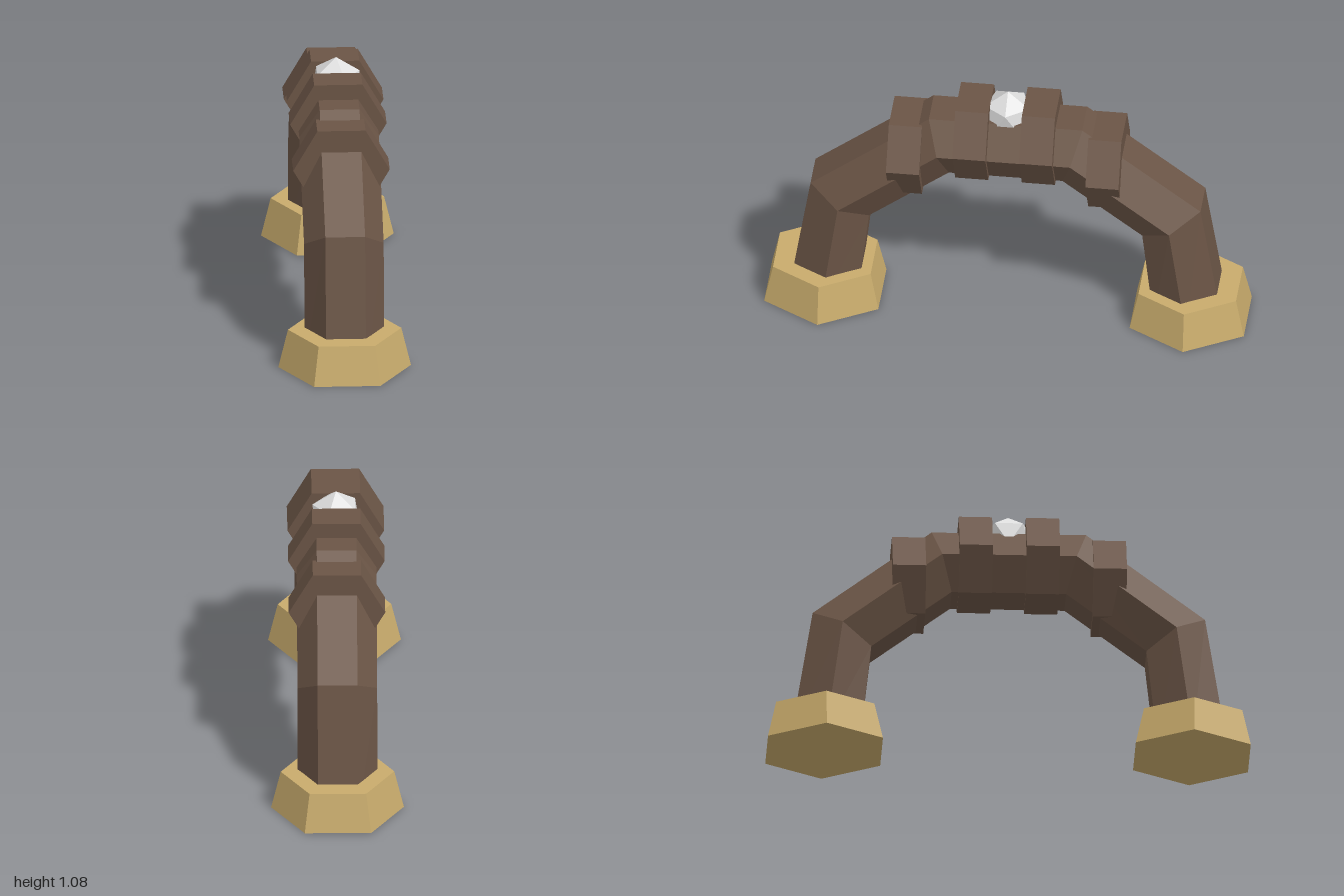
import * as THREE from 'three';

const flat = (name, color) => {
  const m = new THREE.MeshStandardMaterial({ color, flatShading: true });
  m.name = name;
  return m;
};

// Hexagonal prism with two corners pointing along x
const hexPrism = (top, bottom, height) =>
  new THREE.CylinderGeometry(top, bottom, height, 6, 1, false, Math.PI / 6);

// Hexagonal beam swept through mitred stations [outerZ, outerY, innerZ, innerY]
function archGeometry(stations, halfWidth) {
  const rings = stations.map(([oz, oy, iz, iy]) => {
    const cz = (oz + iz) / 2, cy = (oy + iy) / 2, w = halfWidth, n = w / 2;
    return [[w, cy, cz], [n, oy, oz], [-n, oy, oz], [-w, cy, cz], [-n, iy, iz], [n, iy, iz]];
  });
  const pos = [];
  for (let s = 0; s < rings.length - 1; s++) {
    for (let i = 0; i < 6; i++) {
      const j = (i + 1) % 6, a = rings[s], b = rings[s + 1];
      pos.push(...a[i], ...b[i], ...a[j], ...b[i], ...b[j], ...a[j]);
    }
  }
  // End caps
  const first = rings[0], last = rings[rings.length - 1];
  for (let i = 1; i < 5; i++) {
    pos.push(...first[0], ...first[i], ...first[i + 1]);
    pos.push(...last[0], ...last[i + 1], ...last[i]);
  }
  const g = new THREE.BufferGeometry();
  g.setAttribute('position', new THREE.Float32BufferAttribute(pos, 3));
  g.computeVertexNormals();
  return g;
}

export function createModel() {
  const brown = flat('brown', 0x6b5546);
  const sand = flat('sand', 0xc8ab6c);
  const silver = flat('silver', 0xdedede);

  const model = new THREE.Group();
  model.name = 'archway';
  const add = (name, geometry, material, x, y, z) => {
    const mesh = new THREE.Mesh(geometry, material);
    mesh.name = name;
    mesh.position.set(x, y, z);
    model.add(mesh);
  };

  // Arch beam: front half mirrored to the back
  const half = [
    [0.905, 0.02, 0.617, 0.02],
    [0.813, 0.59, 0.57, 0.443],
    [0.32, 0.967, 0.237, 0.697],
  ];
  const back = half.map(([oz, oy, iz, iy]) => [-oz, oy, -iz, iy]).reverse();
  add('archBeam', archGeometry([...half, ...back], 0.165), brown, 0, 0, 0);

  // Collars around the beam and flared feet
  const collar = hexPrism(0.2, 0.2, 0.138).rotateX(Math.PI / 2);
  const foot = hexPrism(0.235, 0.275, 0.165);
  for (const [side, s] of [['front', 1], ['back', -1]]) {
    add(side + 'UpperCollar', collar, brown, 0, 0.86, s * 0.139);
    add(side + 'LowerCollar', collar, brown, 0, 0.762, s * 0.416);
    add(side + 'Foot', foot, sand, 0, 0.0825, s * 0.762);
  }

  // Faceted gem on the crown, one corner straight up
  const gem = new THREE.IcosahedronGeometry(0.11, 0);
  gem.rotateX(-Math.atan((1 + Math.sqrt(5)) / 2)).rotateY(Math.PI / 2);
  add('crownGem', gem, silver, 0, 0.968, 0);

  return model;
}
